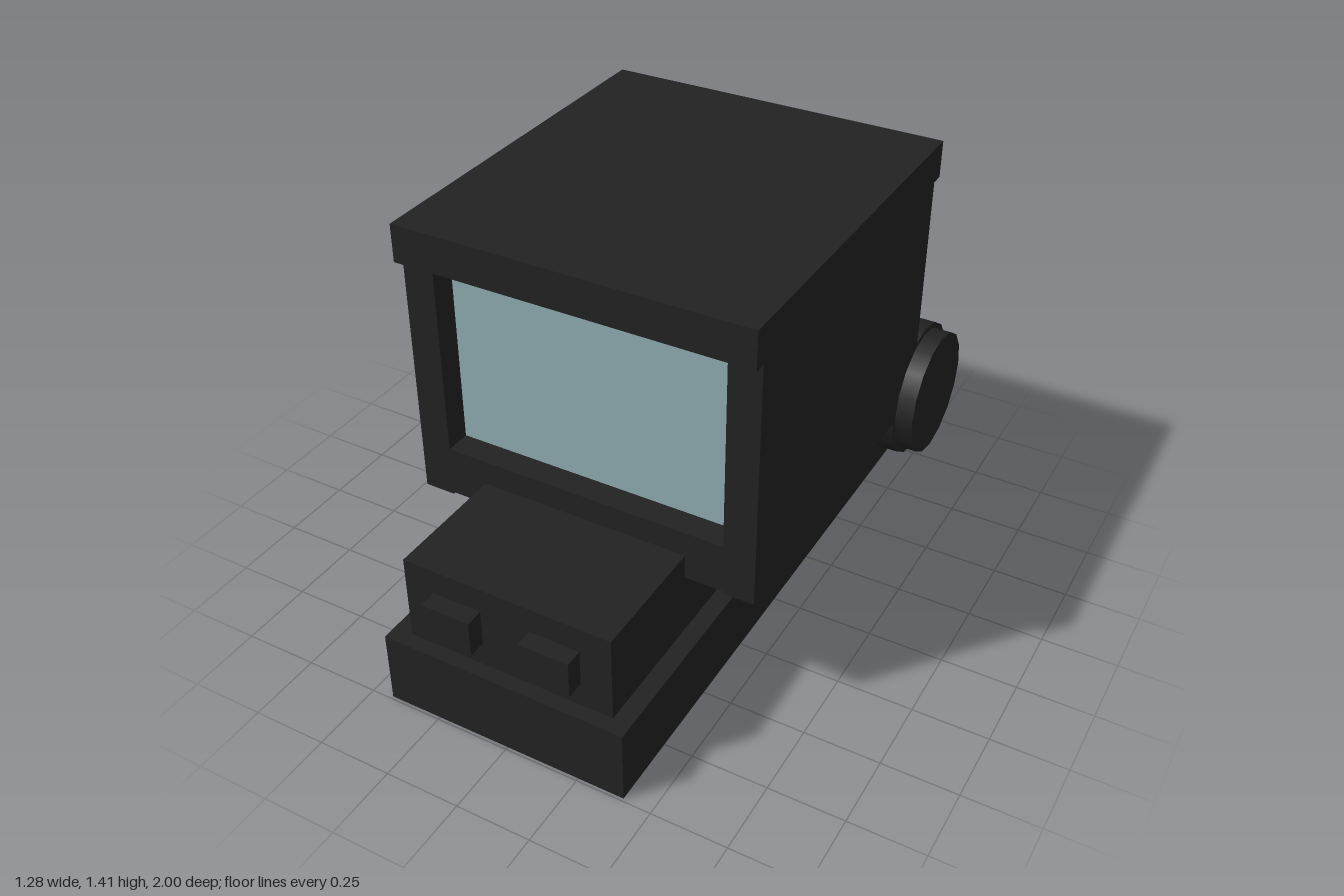
import * as THREE from 'three';

export function createModel() {
  const group = new THREE.Group();
  const black = new THREE.MeshStandardMaterial({ color: 0x222222 });
  black.name = 'black plastic';
  const glass = new THREE.MeshStandardMaterial({ color: 0x90adb1, side: THREE.DoubleSide });
  glass.name = 'pale glass';

  const add = (name, geometry, material) => {
    const mesh = new THREE.Mesh(geometry, material);
    mesh.name = name;
    group.add(mesh);
    return mesh;
  };
  // Box given by its limits on each axis
  const box = (name, [x0, x1], [y0, y1], [z0, z1], material = black) =>
    add(name, new THREE.BoxGeometry(x1 - x0, y1 - y0, z1 - z0), material)
      .position.set((x0 + x1) / 2, (y0 + y1) / 2, (z0 + z1) / 2);
  // Cylinder lying along x
  const drum = (name, radius, [x0, x1], y, z) =>
    add(name, new THREE.CylinderGeometry(radius, radius, x1 - x0, 16).rotateZ(Math.PI / 2), black)
      .position.set((x0 + x1) / 2, y, z);

  // Chassis and its side knob
  box('base', [-0.43, 0.405], [0, 0.252], [-1, 0.99]);
  drum('sideKnob', 0.126, [-0.64, -0.43], 0.126, 0.097);

  // Front block with two lamps
  box('frontBlock', [-0.365, 0.345], [0.252, 0.545], [-0.11, 0.94]);
  box('rightLamp', [-0.263, -0.098], [0.337, 0.46], [0.94, 1]);
  box('leftLamp', [0.072, 0.24], [0.337, 0.46], [0.94, 1]);

  // Cabin: thick side walls, sills and roof, open underneath
  box('rightWall', [-0.6, -0.495], [0.455, 1.29], [-0.69, 0.52]);
  box('leftWall', [0.47, 0.575], [0.455, 1.29], [-0.69, 0.52]);
  box('frontSill', [-0.495, 0.47], [0.462, 0.63], [0.425, 0.52]);
  box('backSill', [-0.495, 0.47], [0.462, 0.63], [-0.69, -0.61]);
  box('roof', [-0.6, 0.575], [1.29, 1.415], [-0.735, 0.56]);

  // Recessed windows
  box('frontWindow', [-0.495, 0.47], [0.63, 1.29], [0.425, 0.433], glass);
  box('backWindow', [-0.495, 0.47], [0.63, 1.29], [-0.625, -0.617], glass);

  // Rear drum with end cap
  drum('rearDrum', 0.239, [-0.6, 0.575], 0.464, -0.761);
  drum('drumCap', 0.219, [0.575, 0.637], 0.464, -0.761);

  return group;
}
